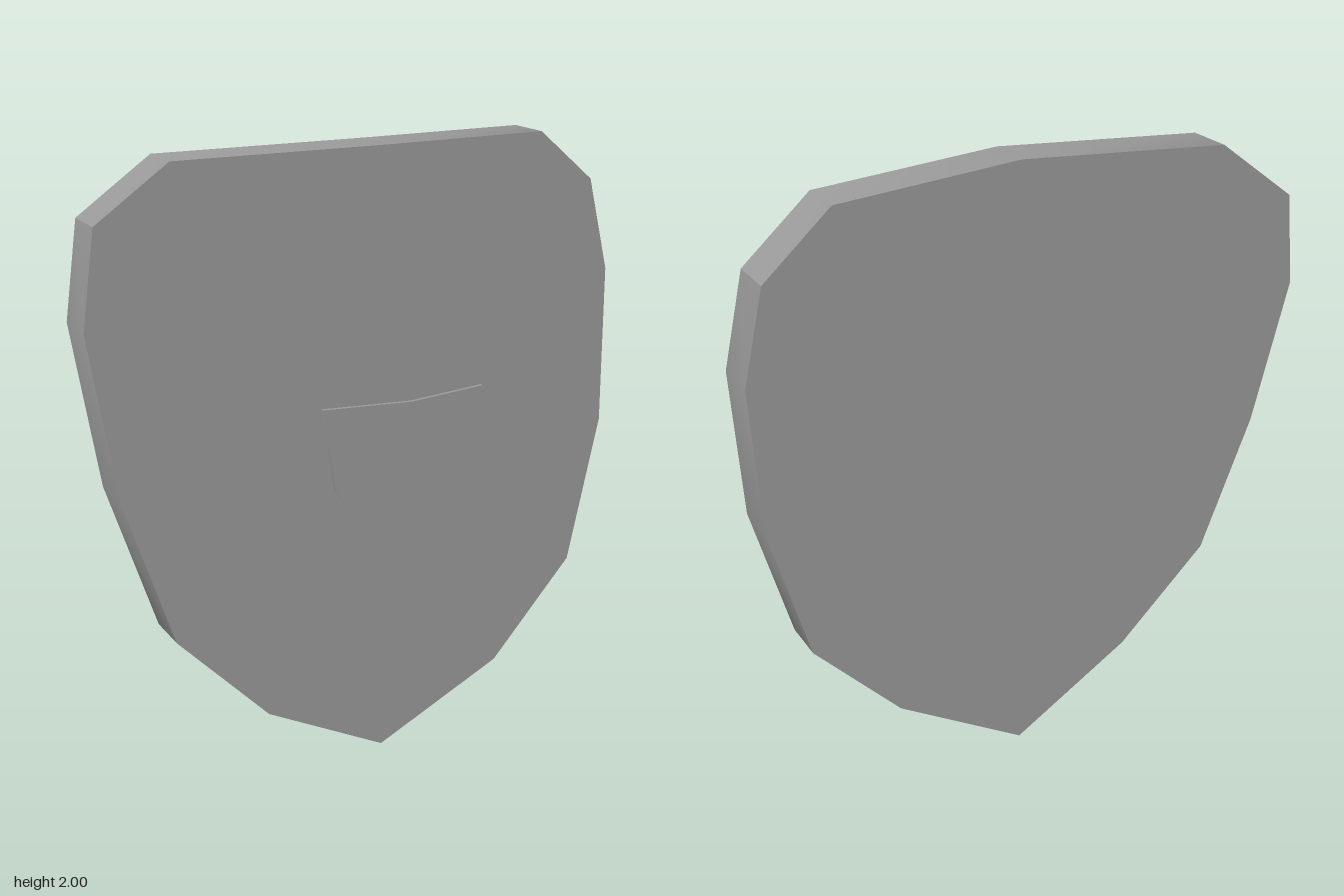
import * as THREE from 'three';
import { toCreasedNormals } from 'three/addons/utils/BufferGeometryUtils.js';

const steel = new THREE.MeshStandardMaterial({ color: 0x999999 });
steel.name = 'steel grey';

const mirror = ([x, y, z]) => [-x, y, z];

function triangles(list) {
  const g = new THREE.BufferGeometry();
  g.setAttribute('position', new THREE.Float32BufferAttribute(list.flat(2), 3));
  return g;
}

// Mirror-symmetric bent slab: faces describe the +x half of the front,
// rim lists the +x half of the outline from top centre to bottom centre.
function slab(name, points, faces, rim, depth) {
  const group = new THREE.Group();
  group.name = name;
  const back = ([x, y, z]) => [x, y, z - depth];
  const front = [];
  for (const face of faces) {
    const p = face.map((k) => points[k]);
    for (let i = 1; i < p.length - 1; i++) {
      const t = [p[0], p[i], p[i + 1]];
      front.push(t, t.map(mirror).reverse());
    }
  }
  const rear = front.map((t) => t.map(back).reverse());

  const add = (part, geometry) => {
    const mesh = new THREE.Mesh(geometry, steel);
    mesh.name = name + part;
    group.add(mesh);
  };

  // Broad faces share one even normal so they shade without facets
  for (const [part, list, nz] of [['Front', front, 1], ['Back', rear, -1]]) {
    const g = triangles(list);
    const normals = list.flatMap(() => [0, 0, nz, 0, 0, nz, 0, 0, nz]);
    g.setAttribute('normal', new THREE.Float32BufferAttribute(normals, 3));
    add(part, g);
  }

  // Edge band, counter-clockwise around the outline
  const half = rim.map((k) => points[k]);
  const loop = [...half.map(mirror), ...half.slice(1, -1).reverse()];
  const wall = [];
  loop.forEach((a, i) => {
    const b = loop[(i + 1) % loop.length];
    wall.push([back(a), back(b), b], [back(a), b, a]);
  });
  add('Edge', toCreasedNormals(triangles(wall), 0.7));
  return group;
}

export function createModel() {
  const model = new THREE.Group();
  model.name = 'shield';

  // Shield body: c = centre ridge, i = inner column, r = rim
  model.add(slab('body', {
    c0: [0, 2, 0.04], c1: [0, 1.5, 0.2], c2: [0, 1, 0.255], c3: [0, 0.5, 0.2], c4: [0, 0, 0.04],
    i1: [0.55, 1.5, 0.1], i2: [0.5, 1, 0.17], i3: [0.4, 0.5, 0.155],
    r1: [0.63, 1.985, -0.06], r2: [0.855, 1.81, -0.1], r3: [0.91, 1.51, -0.07],
    r4: [0.855, 1.01, 0.01], r5: [0.715, 0.54, 0.055], r6: [0.42, 0.23, 0.07],
  }, [
    ['c0', 'c1', 'i1', 'r1'], ['r1', 'i1', 'r2'], ['r2', 'i1', 'r3'],
    ['c1', 'c2', 'i2', 'i1'], ['i1', 'i2', 'r4', 'r3'],
    ['c2', 'c3', 'i3', 'i2'], ['i2', 'i3', 'r5', 'r4'],
    ['i3', 'r6', 'r5'], ['c3', 'c4', 'r6', 'i3'],
  ], ['c0', 'r1', 'r2', 'r3', 'r4', 'r5', 'r6', 'c4'], 0.155));

  // Small raised boss plate that sinks into the body at its lower end
  model.add(slab('boss', {
    t0: [0, 1.26, 0.238], t1: [0.275, 1.26, 0.192],
    m0: [0, 1, 0.259], m1: [0.25, 1.01, 0.219],
    l0: [0, 0.95, 0.25], l1: [0.21, 0.95, 0.214],
  }, [
    ['t0', 'm0', 'm1', 't1'], ['m0', 'l0', 'l1', 'm1'],
  ], ['t0', 't1', 'm1', 'l1', 'l0'], 0.03));

  return model;
}
